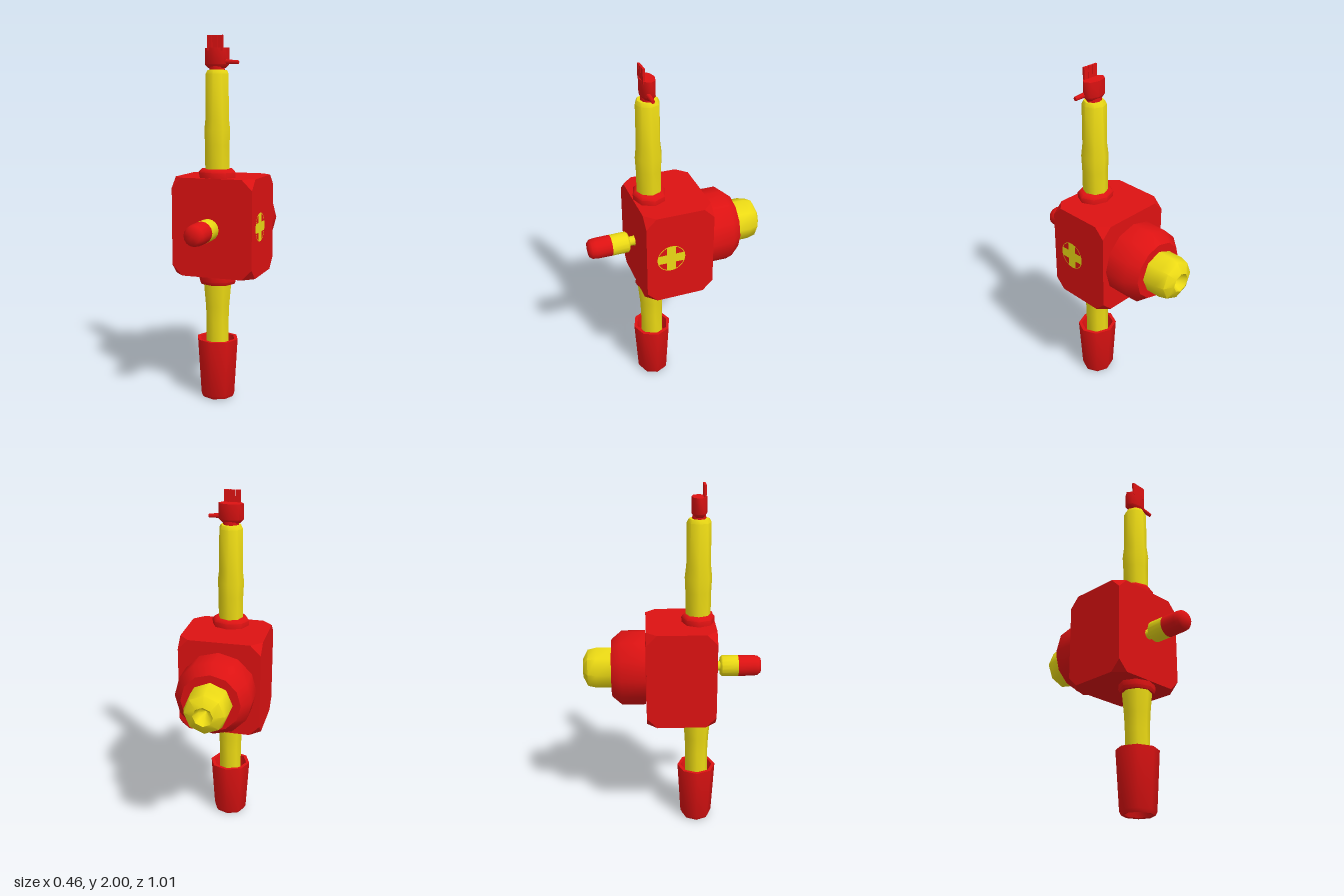
import * as THREE from 'three';
import { toCreasedNormals } from 'three/addons/utils/BufferGeometryUtils.js';
import { ConvexGeometry } from 'three/addons/geometries/ConvexGeometry.js';

const red = new THREE.MeshStandardMaterial({ color: 0xdd1212, side: THREE.DoubleSide });
const yellow = new THREE.MeshStandardMaterial({ color: 0xecda14, side: THREE.DoubleSide });
const MID = 0.975; // height of the front-to-back axis
const ARM_Z = 0.14; // depth of the vertical axis

export function createModel() {
  const group = new THREE.Group();

  const add = (name, geometry, material, x = 0, y = 0, z = 0) => {
    const mesh = new THREE.Mesh(geometry, material);
    mesh.name = name;
    mesh.position.set(x, y, z);
    group.add(mesh);
    return mesh;
  };

  // Turned shape from [radius, height] pairs, with sharp rims and smooth sides
  const turned = (profile, sides) => toCreasedNormals(
    new THREE.LatheGeometry(profile.map(([r, h]) => new THREE.Vector2(r, h)), sides), 0.85);

  // Turned part on the vertical axis, slightly flattened in depth
  const upright = (name, profile, material, depth = 1, sides = 8) => {
    const geometry = turned(profile, sides);
    geometry.scale(1, 1, depth);
    return add(name, geometry, material, 0, 0, ARM_Z);
  };

  // Turned part on the front-to-back axis; heights become z
  const level = (name, profile, material, sides) => {
    const geometry = turned(profile, sides);
    geometry.rotateX(Math.PI / 2);
    return add(name, geometry, material, 0, MID, 0);
  };

  // Body: a box with its eight corners cut off
  const half = [0.231, 0.272, 0.193];
  const cut = 0.058;
  const corners = [];
  for (const sx of [-1, 1]) for (const sy of [-1, 1]) for (const sz of [-1, 1]) {
    for (let axis = 0; axis < 3; axis++) {
      const p = [sx * half[0], sy * half[1], sz * half[2]];
      p[axis] -= Math.sign(p[axis]) * cut;
      corners.push(new THREE.Vector3(...p));
    }
  }
  add('body', new ConvexGeometry(corners), red, 0, 0.973, 0.041);

  // Collars where the limbs leave the body
  upright('upperCollar', [[0, 1.23], [0.105, 1.23], [0.107, 1.275], [0.09, 1.292], [0.068, 1.292], [0.068, 1.25]], red, 0.87);
  upright('lowerCollar', [[0.068, 0.69], [0.068, 0.655], [0.1, 0.655], [0.108, 0.672], [0.105, 0.715], [0, 0.715]], red, 0.87);

  // Limbs
  upright('arm', [[0.07, 1.24], [0.071, 1.42], [0.075, 1.5], [0.067, 1.57], [0.066, 1.8], [0.056, 1.82], [0, 1.82]], yellow);
  upright('leg', [[0, 0.25], [0.066, 0.25], [0.066, 0.44], [0.07, 0.53], [0.08, 0.64], [0.08, 0.71]], yellow);

  // Boot: tapered sleeve with a hollow top and sole
  upright('boot', [[0, 0.04], [0.065, 0.035], [0.075, 0.003], [0.09, 0], [0.1, 0.02], [0.12, 0.338], [0.1, 0.338], [0.085, 0.26], [0, 0.25]], red, 0.93);

  // Hand with three thin fingers and a thumb
  upright('wrist', [[0, 1.81], [0.045, 1.81], [0.042, 1.85]], red, 0.85);
  upright('palm', [[0, 1.83], [0.05, 1.83], [0.07, 1.85], [0.07, 1.935], [0, 1.935]], red, 0.6);
  for (const x of [-0.031, 0, 0.031]) {
    add('finger', new THREE.BoxGeometry(0.028, 0.08, 0.012), red, x, 1.96, 0.168);
  }
  const thumb = new THREE.CylinderGeometry(0.011, 0.015, 0.085, 6);
  thumb.rotateZ(-Math.PI / 2);
  add('thumb', thumb, red, 0.083, 1.861, 0.15).rotation.z = -0.06;

  // Round housing and hollow nozzle at the back
  level('backHousing', [[0, -0.345], [0.165, -0.345], [0.213, -0.288], [0.213, -0.155], [0, -0.14]], red, 12);
  level('backNozzle', [[0, -0.43], [0.035, -0.46], [0.055, -0.506], [0.11, -0.478], [0.122, -0.43], [0.122, -0.335]], yellow, 8);

  // Stem and capped knob at the front
  level('frontStem', [[0.035, 0.225], [0.027, 0.24], [0.027, 0.285]], yellow, 12);
  level('frontKnob', [[0, 0.27], [0.05, 0.27], [0.06, 0.28], [0.06, 0.372]], yellow, 16);
  level('frontKnobCap', [[0.06, 0.372], [0.059, 0.46], [0.055, 0.485], [0.042, 0.5], [0, 0.506]], red, 16);

  // Plain cross inside a thin ring on the left side
  const r = 0.08, w = 0.027;
  const cross = new THREE.Shape();
  const spread = Math.asin(w / r);
  for (let i = 0; i < 4; i++) {
    const a = i * Math.PI / 2;
    const n = a + Math.PI / 4;
    cross.absarc(0, 0, r, a - spread, a + spread, false);
    cross.lineTo(w * Math.SQRT2 * Math.cos(n), w * Math.SQRT2 * Math.sin(n));
  }
  add('sideCross', new THREE.ShapeGeometry(cross, 4), yellow, 0.233, MID, 0.095).rotation.y = Math.PI / 2;
  add('sideRing', new THREE.RingGeometry(r - 0.004, r, 32), yellow, 0.233, MID, 0.095).rotation.y = Math.PI / 2;

  return group;
}
